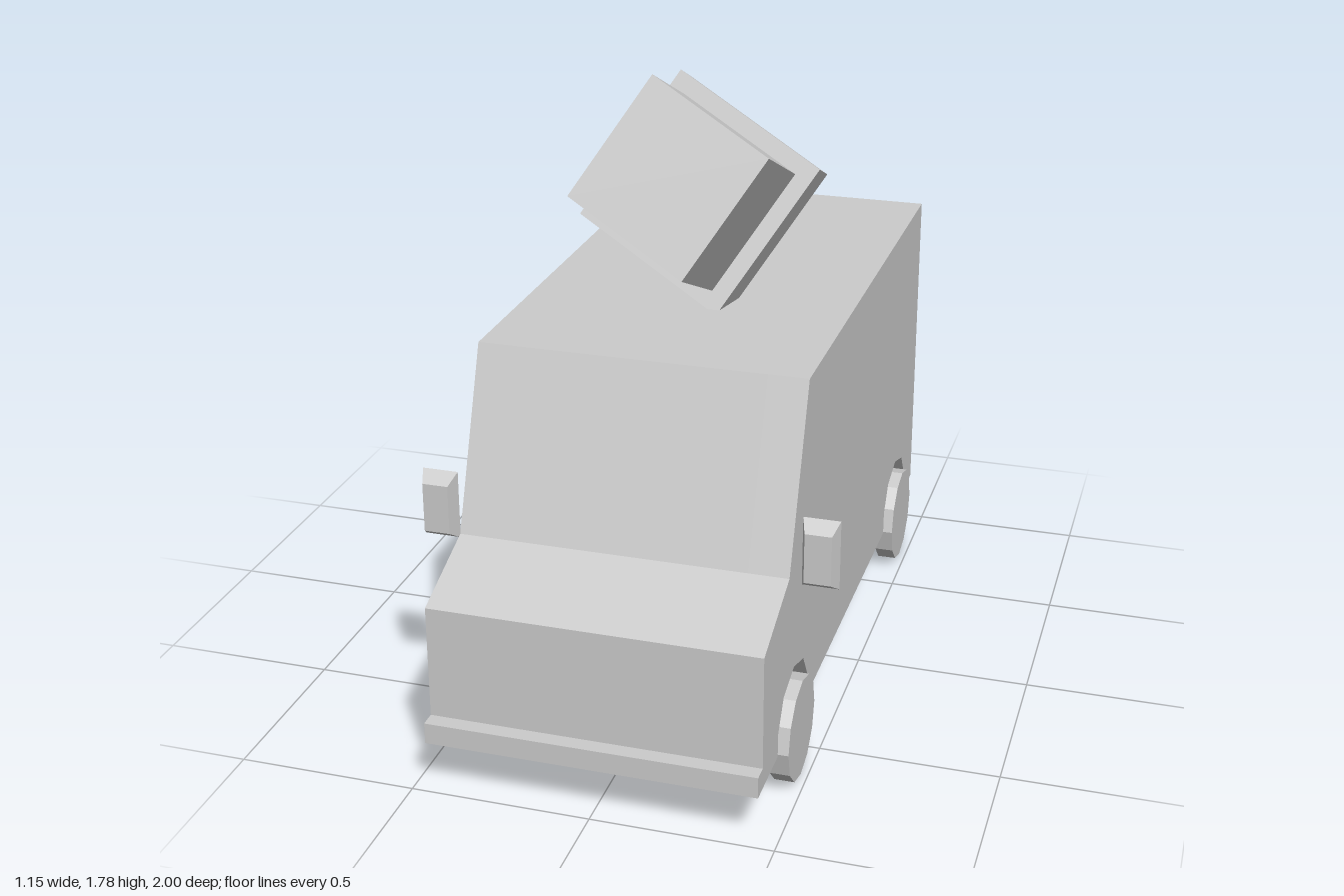
import * as THREE from 'three';

const material = new THREE.MeshStandardMaterial({ color: 0xcccccc, flatShading: true });
const HALF_WIDTH = 0.455, ARCH_DEPTH = 0.11, FLOOR = 0.15;
const AXLES = [-0.712, 0.638];

function addMesh(parent, name, geometry) {
  const mesh = new THREE.Mesh(geometry, material);
  mesh.name = name;
  parent.add(mesh);
  return mesh;
}

// Side outline given as (z, y), optionally with wheel arches cut from the floor line
function vanOutline(withArches) {
  const points = [[1, FLOOR], [1, 0.21], [0.955, 0.21], [0.955, 0.53],
    [0.705, 0.625], [0.525, 1.11], [-1, 1.11], [-1, FLOOR]];
  if (withArches) {
    const arch = [[-0.162, 0], [-0.16, 0.068], [-0.107, 0.146], [0, 0.178],
      [0.107, 0.146], [0.16, 0.068], [0.162, 0]];
    for (const z of AXLES) for (const [dz, dy] of arch) points.push([z + dz, FLOOR + dy]);
  }
  return new THREE.Shape(points.map(([z, y]) => new THREE.Vector2(z, y)));
}

// Extrude a (z, y) outline across x, centred on x = 0
function acrossX(shape, width) {
  const geometry = new THREE.ExtrudeGeometry(shape, { depth: width, bevelEnabled: false });
  return geometry.translate(0, 0, -width / 2).rotateY(-Math.PI / 2);
}

// Box along z whose front and back faces may differ in size
function taperedBox(backW, backH, frontW, frontH, z0, z1) {
  const geometry = new THREE.BoxGeometry(1, 1, 1);
  const p = geometry.attributes.position;
  for (let i = 0; i < p.count; i++) {
    const front = p.getZ(i) > 0;
    p.setXYZ(i, p.getX(i) * (front ? frontW : backW), p.getY(i) * (front ? frontH : backH), front ? z1 : z0);
  }
  geometry.computeVertexNormals();
  return geometry;
}

export function createModel() {
  const van = new THREE.Group();
  van.name = 'van';

  // Body: a plain core with arched panels on both sides
  const body = new THREE.Group();
  body.name = 'body';
  van.add(body);
  addMesh(body, 'bodyCore', acrossX(vanOutline(false), 2 * (HALF_WIDTH - ARCH_DEPTH)));
  const panel = acrossX(vanOutline(true), ARCH_DEPTH);
  const wheel = new THREE.CylinderGeometry(0.145, 0.145, 0.055, 12).rotateZ(Math.PI / 2);
  const mirror = taperedBox(0.1, 0.195, 0.072, 0.14, 0.655, 0.697);

  for (const [side, sign] of [['left', 1], ['right', -1]]) {
    addMesh(body, side + 'SidePanel', panel).position.x = sign * (HALF_WIDTH - ARCH_DEPTH / 2);
    addMesh(van, side + 'Mirror', mirror).position.set(sign * 0.526, 0.685, 0);
    AXLES.forEach((z, i) => {
      addMesh(van, side + (i ? 'Front' : 'Rear') + 'Wheel', wheel).position.set(sign * 0.4525, 0.145, z);
    });
  }

  // Roof ornament: square block, collar and tapered tail, tilted up and rolled
  const ornament = new THREE.Group();
  ornament.name = 'roofOrnament';
  ornament.position.set(-0.002, 1.387, -0.059);
  ornament.rotation.set(-0.411, 0, -Math.PI / 6);
  van.add(ornament);
  addMesh(ornament, 'ornamentBlock', taperedBox(0.396, 0.396, 0.396, 0.396, 0.04, 0.368));
  addMesh(ornament, 'ornamentCollar', taperedBox(0.495, 0.495, 0.495, 0.495, -0.055, 0.048));
  addMesh(ornament, 'ornamentTail', taperedBox(0.248, 0.248, 0.325, 0.325, -0.337, -0.05));

  return van;
}
